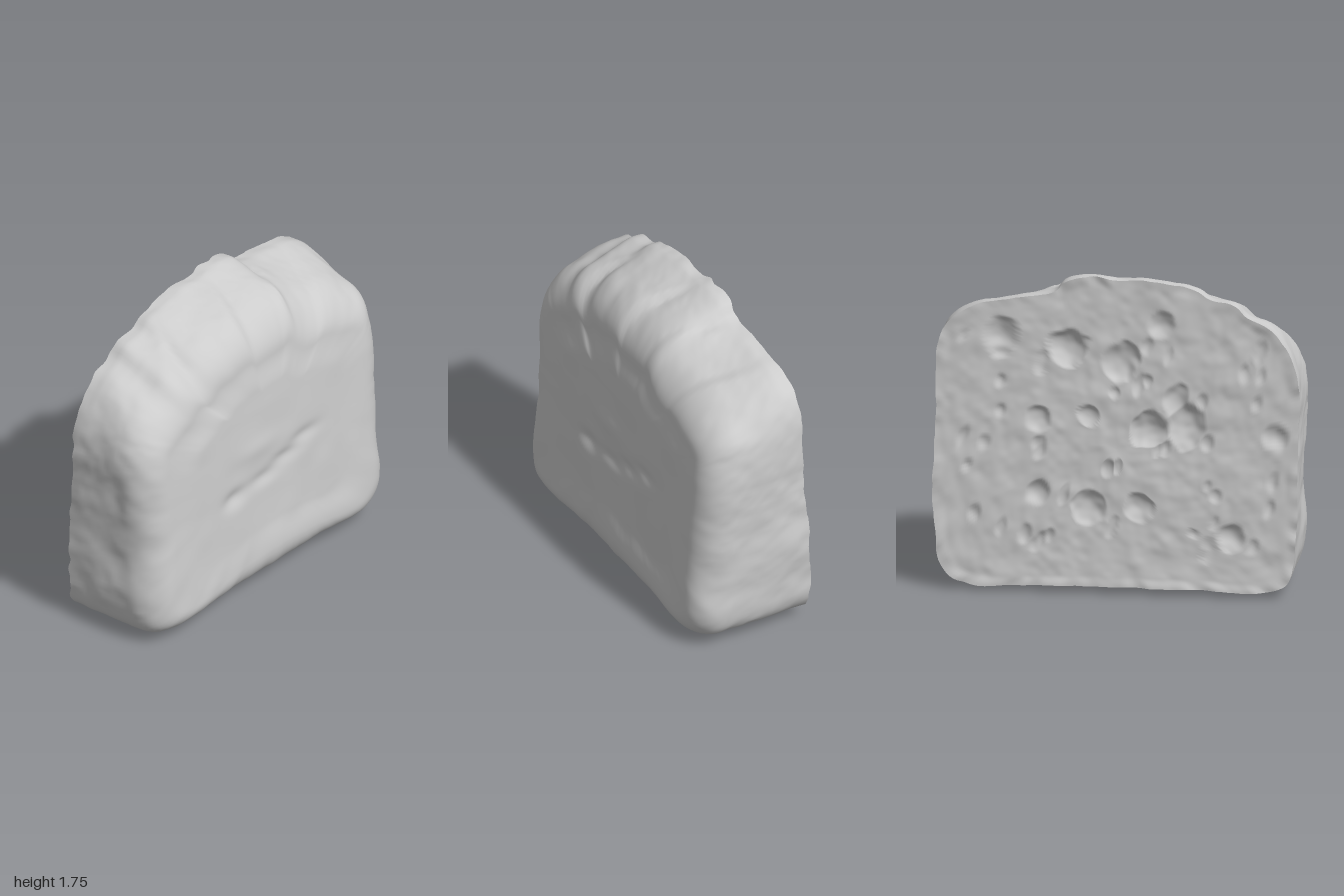
import * as THREE from 'three';

const SEGMENTS = 300;
const CENTRE = { z: 0, y: 0.8 };

// Smooth value noise and layered noise, about -1..1
const hash = (x, y, z) => {
  let h = Math.imul(x, 374761393) ^ Math.imul(y, 668265263) ^ Math.imul(z, 1274126177);
  h = Math.imul(h ^ (h >>> 13), 1103515245);
  return ((h ^ (h >>> 16)) >>> 0) / 4294967295;
};
const mix = THREE.MathUtils.lerp;
const smooth = THREE.MathUtils.smoothstep;
function noise(x, y, z) {
  const i = Math.floor(x), j = Math.floor(y), k = Math.floor(z);
  const u = smooth(x - i, 0, 1), v = smooth(y - j, 0, 1), w = smooth(z - k, 0, 1);
  const edge = (b, c) => mix(hash(i, j + b, k + c), hash(i + 1, j + b, k + c), u);
  return 2 * mix(mix(edge(0, 0), edge(1, 0), v), mix(edge(0, 1), edge(1, 1), v), w) - 1;
}
const layered = (x, y, z, f) =>
  noise(x * f, y * f, z * f) * 0.6 + noise(x * f * 2.1 + 7, y * f * 2.1, z * f * 2.1) * 0.3;

// Loaf outline at the cut, as [z, y]
const outline = new THREE.CatmullRomCurve3([
  [0.4, 0.04], [0.8, 0.035], [0.92, 0.08], [0.965, 0.2], [0.97, 0.75], [0.992, 1.1],
  [0.965, 1.28], [0.89, 1.42], [0.81, 1.5], [0.7, 1.55], [0.64, 1.6], [0.5, 1.63], [0.43, 1.68],
  [0.25, 1.72], [0, 1.735], [-0.1, 1.745], [-0.28, 1.71], [-0.33, 1.665], [-0.55, 1.61],
  [-0.8, 1.55], [-0.93, 1.45], [-0.965, 1.25], [-0.985, 1.0], [-0.98, 0.4], [-0.95, 0.14],
  [-0.82, 0.04], [-0.4, 0.04],
].map(([z, y]) => new THREE.Vector3(0, y, z)), true).getSpacedPoints(SEGMENTS).slice(0, SEGMENTS);

// Crumb holes as [z, y, radius, stretch]: the large ones, then a scatter of small slits
const holes = [
  [-0.26, 1.35, 0.11, 1], [0.02, 1.28, 0.11, 1], [0.24, 1.49, 0.08, 1], [-0.62, 1.4, 0.09, 1.3],
  [0.18, 0.91, 0.11, 1], [0.38, 0.94, 0.1, 1.4], [-0.42, 0.95, 0.07, 1], [-0.15, 0.98, 0.06, 1],
  [0.62, 0.33, 0.08, 1], [0.86, 0.89, 0.07, 1], [0.12, 0.48, 0.08, 1], [-0.15, 0.48, 0.1, 1],
  [-0.42, 0.55, 0.07, 1], [0.32, 1.08, 0.07, 1.3],
];
for (let i = 0; i < 45; i++) {
  holes.push([hash(i, 1, 5) * 1.7 - 0.85, 0.25 + hash(i, 2, 9) * 1.15,
    0.02 + hash(i, 3, 2) * 0.02, 1 + hash(i, 4, 6) * 1.5]);
}

// Lumps and hollows on the rounded end as [z, y, zRadius, yRadius, height]
const lumps = [
  [0.47, 0.17, 0.06, 0.05, 0.02], [0.3, 0.66, 0.11, 0.06, -0.02], [0.05, 0.68, 0.14, 0.05, -0.014],
  [-0.12, 0.73, 0.14, 0.05, -0.014], [-0.28, 0.79, 0.14, 0.05, -0.012], [0.1, 0.88, 0.2, 0.08, 0.01],
  [-0.13, 1.45, 0.12, 0.16, -0.025], [0.2, 1.5, 0.18, 0.12, 0.018], [-0.85, 0.9, 0.08, 0.2, -0.012],
];
const bell = (a, b) => Math.exp(-(a * a + b * b) * 1.5);

const cutX = (y, z) => -0.334 + 0.045 * y + 0.009 * layered(3, y, z, 11);
function endX(y, z) {
  let x = 0.328 - 0.058 * y - 0.035 * z + 0.012 * layered(1, y, z, 3.5);
  for (const [lz, ly, rz, ry, h] of lumps) x += h * bell((z - lz) / rz, (y - ly) / ry);
  return x;
}

// Crust point for an outline point, a place along x and a rounding inset
function crustPoint(p, x, inset) {
  const dz = p.z - CENTRE.z, dy = p.y - CENTRE.y, length = Math.hypot(dz, dy);
  const top = smooth(p.y, 1.1, 1.6), rough = smooth(p.y, 0, 0.3);
  let out = (0.006 + 0.016 * rough) * layered(x, p.y, p.z, 4) + 0.006 * layered(x, p.y, p.z, 14) - inset;
  // Overlapping folds across the top
  const bend = p.z - 0.07 * Math.sin(x * 6);
  for (const [edge, side] of [[0.02, 1], [-0.3, -1], [0.5, 1], [-0.62, -1]]) {
    const d = (bend - edge) * side;
    out += 0.026 * top * smooth(d, -0.02, 0.025) * (1 - smooth(d, 0.04, 0.25)) * smooth(x, -0.25, 0);
  }
  let y = p.y + (dy / length) * out;
  y -= top * 0.4 * Math.max(0, x + 0.2);
  // Small drip under the base
  if (p.y < 0.2) y -= 0.04 * bell((p.z - 0.77) / 0.05, (x - 0.07) / 0.05);
  // The back end draws in slightly away from the cut
  const taper = p.z < 0 ? 1 - 0.025 * smooth(x, -0.1, 0.25) : 1;
  return new THREE.Vector3(x, Math.max(0, y), (p.z + (dz / length) * out) * taper);
}
const rimPoint = (p) => crustPoint(p, cutX(p.y, p.z) - 0.004 + 0.01 * noise(5, p.y * 16, p.z * 16), 0);

// Joins closed rings of points into one smooth surface
function surface(name, rings) {
  const index = [];
  for (let r = 0; r < rings.length - 1; r++) {
    for (let c = 0; c < SEGMENTS; c++) {
      const d = (c + 1) % SEGMENTS, a = r * SEGMENTS, b = a + SEGMENTS;
      index.push(a + c, b + c, b + d, a + c, b + d, a + d);
    }
  }
  const geometry = new THREE.BufferGeometry().setFromPoints(rings.flat());
  geometry.setIndex(index);
  geometry.computeVertexNormals();
  const mesh = new THREE.Mesh(geometry, new THREE.MeshStandardMaterial({ color: 0xcccccc }));
  mesh.name = name;
  return mesh;
}

// Flat cut side, pitted with shallow crumb holes
function cutFace() {
  const rings = [], count = 80, rim = outline.map(rimPoint);
  for (let r = 0; r <= count; r++) {
    const k = r / count;
    rings.push(rim.map((p) => {
      const y = mix(CENTRE.y, p.y, k), z = mix(CENTRE.z, p.z, k);
      let pit = 0;
      for (const [hz, hy, radius, stretch] of holes) {
        const v = (y - hy) / stretch, u = z - hz - (y - hy) * 0.25 * (stretch - 1);
        const d = Math.hypot(u, v) / radius + 0.15 * noise(y * 20, z * 20, 2);
        if (d < 1) pit = Math.max(pit, radius * 0.4 * (1 - d * d));
      }
      const x = mix(cutX(y, z) + pit, p.x, smooth(k, 0.93, 1));
      return new THREE.Vector3(x, y, z);
    }));
  }
  return surface('cutFace', rings);
}

// Crust band, rounded edge and closed end
function crust() {
  const rings = [], radius = 0.18, rim = outline.map(rimPoint);
  rings.push(rim);
  const edgeX = outline.map((p) => endX(p.y, p.z));
  for (let r = 1; r <= 18; r++) {
    rings.push(outline.map((p, i) => crustPoint(p, mix(rim[i].x, edgeX[i] - radius, r / 18), 0)));
  }
  for (let r = 1; r <= 12; r++) {
    const a = (r / 12) * Math.PI / 2;
    rings.push(outline.map((p, i) =>
      crustPoint(p, edgeX[i] - radius * (1 - Math.sin(a)), radius * (1 - Math.cos(a)))));
  }
  const last = rings[rings.length - 1];
  for (let r = 1; r <= 45; r++) {
    const k = 1 - r / 45;
    rings.push(last.map((p) => {
      const y = mix(CENTRE.y, p.y, k), z = mix(CENTRE.z, p.z, k);
      return new THREE.Vector3(mix(endX(y, z), p.x, smooth(k, 0.7, 1)), y, z);
    }));
  }
  return surface('crust', rings);
}

export function createModel() {
  const group = new THREE.Group();
  group.name = 'breadEnd';
  group.add(cutFace(), crust());
  return group;
}
